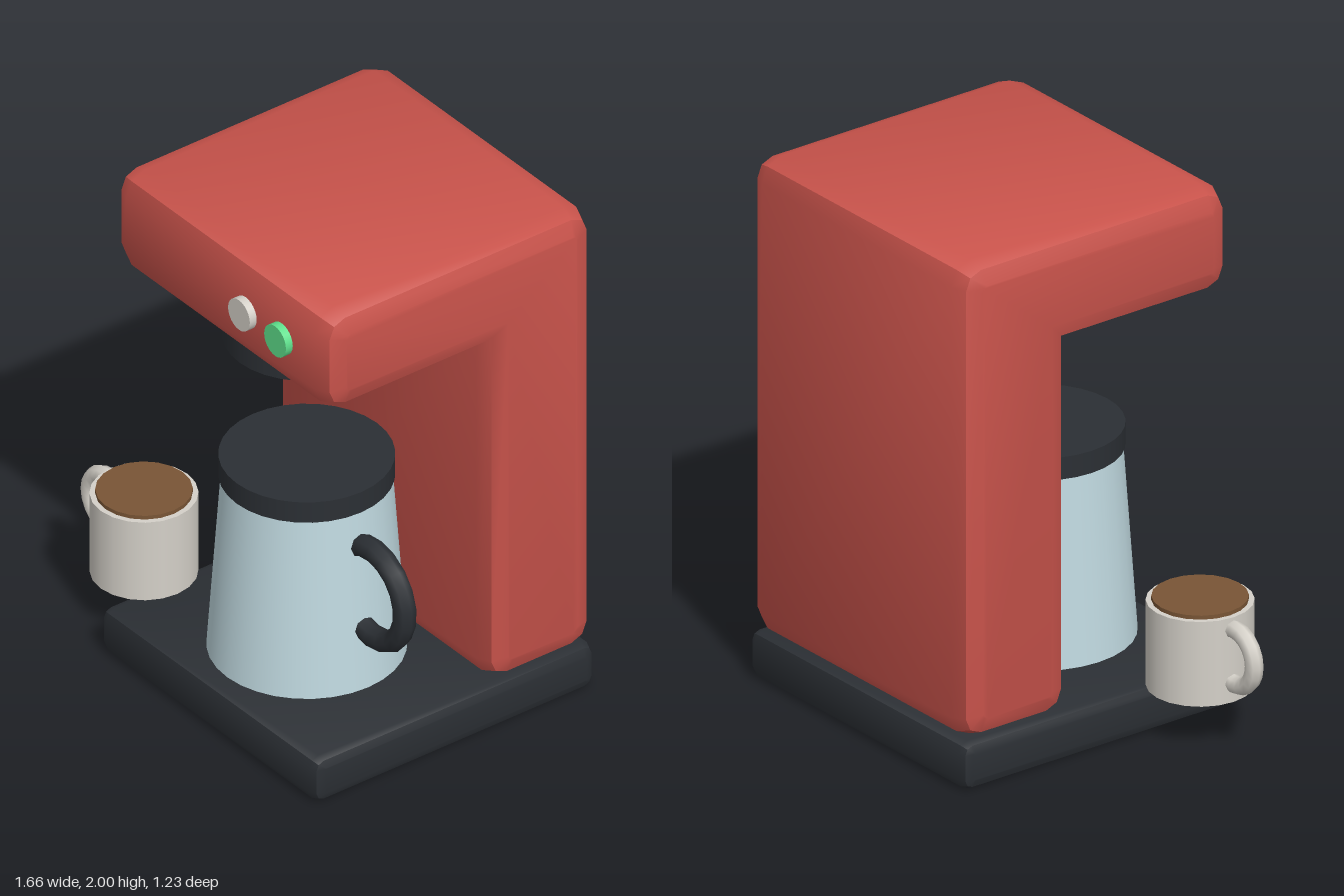
import * as THREE from 'three';
import { toCreasedNormals } from 'three/addons/utils/BufferGeometryUtils.js';

const mat = (color) => new THREE.MeshStandardMaterial({ color, side: THREE.DoubleSide });
const RED = mat(0xc9534b), BLACK = mat(0x2b2f34), GLASS = mat(0xc0d9e0);
const CERAMIC = mat(0xd4d0c8), COFFEE = mat(0x795535), GREEN = mat(0x5fe08c);

// Side profile of [-z, y, rounded] corners, extruded along x with softened edges
function softExtrusion(corners, width, radius) {
  const points = [];
  const n = corners.length;
  corners.forEach(([x, y, rounded], i) => {
    const p = new THREE.Vector2(x, y);
    if (!rounded) return points.push(p);
    const dir = (c) => new THREE.Vector2(c[0], c[1]).sub(p).normalize();
    const a = dir(corners[(i + n - 1) % n]), b = dir(corners[(i + 1) % n]);
    const mid = a.clone().add(b).multiplyScalar(radius * (1 - Math.SQRT1_2));
    points.push(p.clone().addScaledVector(a, radius), p.clone().add(mid), p.clone().addScaledVector(b, radius));
  });
  const bevel = radius * 0.94;
  const geo = new THREE.ExtrudeGeometry(new THREE.Shape(points), {
    depth: width - 2 * bevel, bevelThickness: bevel, bevelSize: bevel, bevelOffset: -bevel, bevelSegments: 2,
  });
  geo.translate(0, 0, bevel - width / 2).rotateY(Math.PI / 2);
  return toCreasedNormals(geo, 0.6);
}

export function createModel() {
  const model = new THREE.Group();
  const add = (name, geo, material, x, y, z, parent = model) => {
    const mesh = new THREE.Mesh(geo, material);
    mesh.name = name;
    mesh.position.set(x, y, z);
    parent.add(mesh);
    return mesh;
  };
  // Upright round part between two heights
  const round = (name, rTop, rBottom, y0, y1, sides, material, x, z, parent) =>
    add(name, new THREE.CylinderGeometry(rTop, rBottom, y1 - y0, sides), material, x, (y0 + y1) / 2, z, parent);
  // Partial ring running from one angle to another
  const handle = (name, ring, tube, from, to, material, x, y, z, parent) => {
    const geo = new THREE.TorusGeometry(ring, tube, 8, 12, to - from).rotateZ(from);
    return add(name, geo, material, x, y, z, parent);
  };

  const cx = 0.215, width = 1.23, brewZ = 0.18;

  // Machine: base slab, then column and overhanging head as one body
  add('base', softExtrusion([
    [-0.615, 0, true], [0.615, 0, true], [0.615, 0.18, true], [-0.615, 0.18, true],
  ], width, 0.04), BLACK, cx, 0, 0);
  add('body', softExtrusion([
    [0.15, 0.18, true], [0.615, 0.18, true], [0.615, 2, true],
    [-0.56, 2, true], [-0.56, 1.6, true], [0.15, 1.6, false],
  ], width, 0.085), RED, cx, 0, 0);
  round('brewOutlet', 0.295, 0.295, 1.475, 1.65, 32, BLACK, cx, brewZ);

  // Front buttons
  [['plainButton', 0.36, CERAMIC], ['powerButton', 0.565, GREEN]].forEach(([name, x, material]) => {
    const geo = new THREE.CylinderGeometry(0.062, 0.062, 0.06, 24).rotateX(Math.PI / 2);
    add(name, geo, material, x, 1.8, 0.56);
  });

  // Carafe
  const carafe = new THREE.Group();
  carafe.name = 'carafe';
  model.add(carafe);
  round('carafeBody', 0.3, 0.35, 0.18, 0.89, 32, GLASS, cx, brewZ, carafe);
  round('carafeLid', 0.308, 0.308, 0.89, 0.975, 32, BLACK, cx, brewZ, carafe);
  handle('carafeHandle', 0.18, 0.042, -1.92, 2.2, BLACK, 0.592, 0.59, brewZ, carafe);

  // Mug of coffee beside the machine
  const mug = new THREE.Group();
  mug.name = 'mug';
  model.add(mug);
  round('mugBody', 0.19, 0.19, 0.18, 0.505, 20, CERAMIC, -0.49, 0.35, mug);
  round('coffee', 0.17, 0.17, 0.45, 0.52, 20, COFFEE, -0.49, 0.35, mug);
  handle('mugHandle', 0.105, 0.033, Math.PI - 1.9, Math.PI + 1.9, CERAMIC, -0.692, 0.357, 0.35, mug);

  return model;
}
